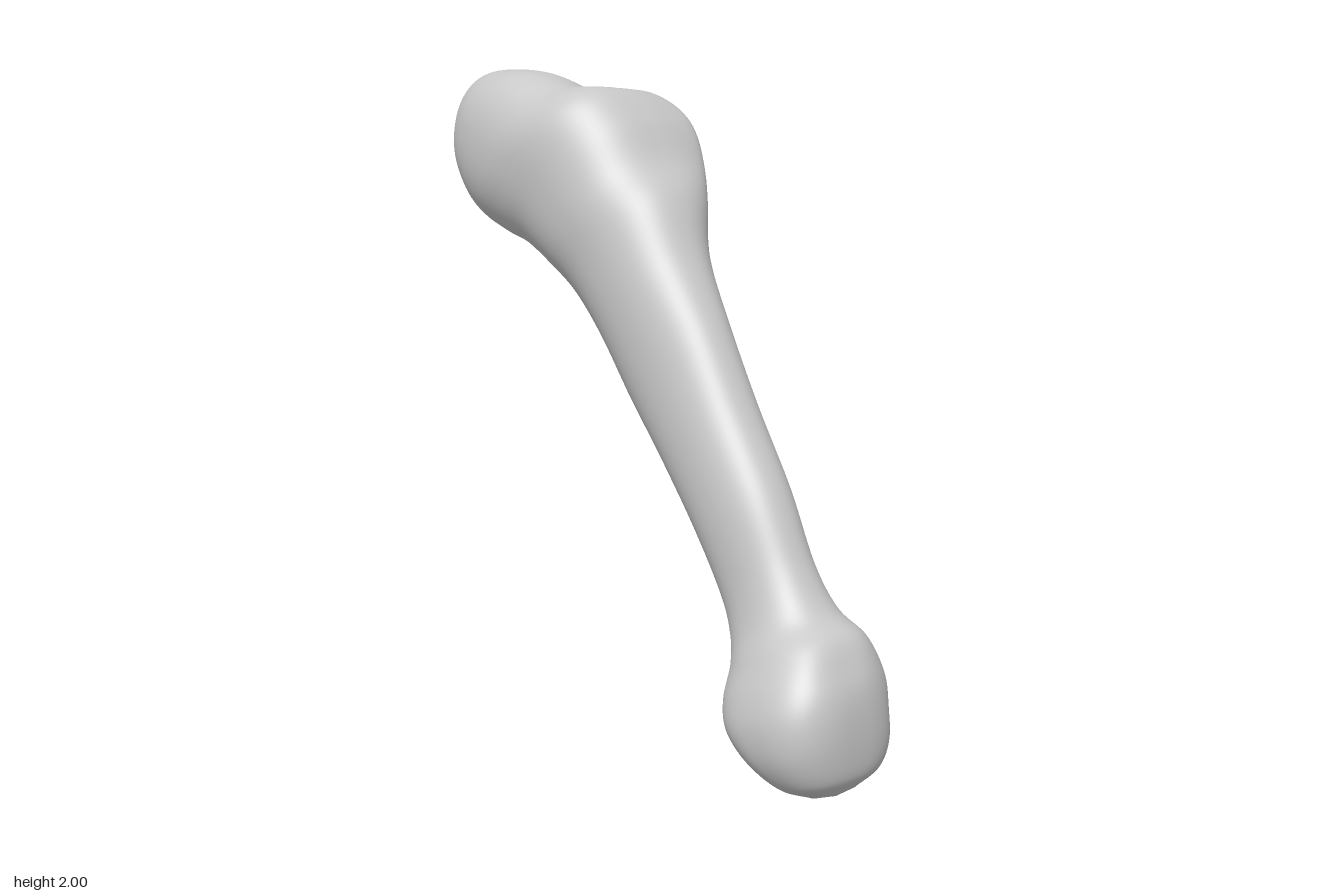
import * as THREE from 'three';

// Cross-sections from the lower joint to the rounded head:
// [front edge z, y, back edge z, y, right x, left x]
const SECTIONS = [
  [0.925, 0.04, 0.83, 0.005, -0.18, -0.03],
  [0.957, 0.09, 0.74, 0.025, -0.26, 0.08],
  [0.962, 0.18, 0.64, 0.085, -0.315, 0.15],
  [0.95, 0.29, 0.55, 0.16, -0.33, 0.175],
  [0.925, 0.385, 0.505, 0.24, -0.305, 0.16],
  [0.875, 0.47, 0.485, 0.33, -0.25, 0.125],
  [0.775, 0.53, 0.445, 0.41, -0.2, 0.09],
  [0.68, 0.65, 0.385, 0.505, -0.174, 0.075],
  [0.56, 0.86, 0.26, 0.67, -0.168, 0.09],
  [0.4, 1.08, 0.09, 0.855, -0.157, 0.112],
  [0.25, 1.3, -0.07, 1.01, -0.147, 0.14],
  [0.1, 1.5, -0.22, 1.18, -0.147, 0.19],
  [0, 1.66, -0.36, 1.295, -0.15, 0.265],
  [-0.1, 1.76, -0.48, 1.37, -0.165, 0.315],
  [-0.19, 1.88, -0.6, 1.43, -0.175, 0.32],
  [-0.3, 1.965, -0.69, 1.46, -0.19, 0.28],
  [-0.45, 1.97, -0.77, 1.5, -0.2, 0.23],
  [-0.6, 2.0, -0.83, 1.55, -0.195, 0.18],
  [-0.72, 2.0, -0.89, 1.63, -0.172, 0.155],
  [-0.82, 1.985, -0.93, 1.71, -0.125, 0.12],
  [-0.9, 1.94, -0.955, 1.77, -0.065, 0.085],
  [-0.945, 1.89, -0.963, 1.82, -0.015, 0.045],
];

// Local swellings and hollows: centre, radius, push
const BUMPS = [
  [[0.24, 1.86, -0.46], 0.09, [0.02, 0.05, 0]],       // tubercle peak
  [[0.13, 1.95, -0.42], 0.08, [0, -0.035, 0]],        // groove beside it
  [[0.22, 1.5, -0.3], 0.12, [-0.03, 0, 0]],           // hollow under tubercle
  [[0.2, 1.75, -0.58], 0.1, [-0.025, 0, 0]],          // neck behind tubercle
  [[-0.1, 0.43, 0.9], 0.09, [0, -0.005, -0.015]],     // hollow above the joint
  [[0.13, 0.22, 0.84], 0.08, [-0.012, 0, -0.008]],    // dished left side
  [[0.085, 0.085, 0.69], 0.04, [0.03, -0.055, -0.02]], // spur under the joint
];

function boneGeometry(rings = 170, sides = 72) {
  const edge = (pick) => new THREE.CatmullRomCurve3(SECTIONS.map(pick), false, 'catmullrom', 0.5);
  const front = edge((s) => new THREE.Vector3(s[4], s[1], s[0]));
  const back = edge((s) => new THREE.Vector3(s[5], s[3], s[2]));
  const power = (n, e) => Math.sign(n) * Math.pow(Math.abs(n), e);
  const near = (x, centre, width) => Math.exp(-(((x - centre) / width) ** 2));
  const pos = [], index = [];

  for (let i = 0; i <= rings; i++) {
    const t = i / rings;
    const a = front.getPoint(t), b = back.getPoint(t);
    const station = t * (SECTIONS.length - 1);
    const tubercle = near(station, 14, 2.1);
    const joint = near(station, 2.8, 2);
    for (let j = 0; j < sides; j++) {
      const angle = (j / sides) * Math.PI * 2;
      const c = Math.cos(angle), s = Math.sin(angle);
      // Squarer sections at the joint and on the front left of the tubercle
      const corner = c > 0 ? (s > 0 ? 0.25 : 0.08) : 0.06;
      const e = 0.93 - corner * tubercle - 0.15 * joint;
      const u = power(c, e);
      let v = power(s, e);
      // The tubercle leans forward; the joint slants back toward its left
      if (u > 0) v += 0.5 * tubercle * u * (1 - v * v);
      if (v > 0) v *= 1 - 0.14 * joint * u;
      const k = (1 - v) / 2;
      const p = new THREE.Vector3(
        (a.x + b.x) / 2 + (u * (b.x - a.x)) / 2,
        a.y + (b.y - a.y) * k,
        a.z + (b.z - a.z) * k
      );
      const base = p.clone();
      for (const [centre, radius, push] of BUMPS) {
        const d = base.distanceTo(new THREE.Vector3(...centre)) / radius;
        p.addScaledVector(new THREE.Vector3(...push), Math.exp(-d * d));
      }
      pos.push(p.x, p.y, p.z);
    }
  }

  // Skin between rings
  for (let i = 0; i < rings; i++) {
    for (let j = 0; j < sides; j++) {
      const n = (j + 1) % sides;
      const p = i * sides + j, q = i * sides + n;
      index.push(p, p + sides, q, q, p + sides, q + sides);
    }
  }

  // Close both ends with a slightly domed fan
  const addCap = (ring, t, lift) => {
    const mid = front.getPoint(t).add(back.getPoint(t)).multiplyScalar(0.5);
    const tip = pos.length / 3;
    pos.push(mid.x, mid.y + lift[0], mid.z + lift[1]);
    for (let j = 0; j < sides; j++) {
      const p = ring * sides + j, q = ring * sides + ((j + 1) % sides);
      if (ring === 0) index.push(tip, p, q);
      else index.push(tip, q, p);
    }
  };
  addCap(0, 0, [-0.01, 0.008]);
  addCap(rings, 1, [0, -0.012]);

  const g = new THREE.BufferGeometry();
  g.setAttribute('position', new THREE.Float32BufferAttribute(pos, 3));
  g.setIndex(index);
  g.computeVertexNormals();
  return g;
}

export function createModel() {
  const group = new THREE.Group();
  group.name = 'bone';
  const boneGrey = new THREE.MeshStandardMaterial({ color: 0xc8c8c8 });
  boneGrey.name = 'bone grey';

  const body = new THREE.Mesh(boneGeometry(), boneGrey);
  body.name = 'boneShaftAndJoints';
  group.add(body);

  return group;
}
